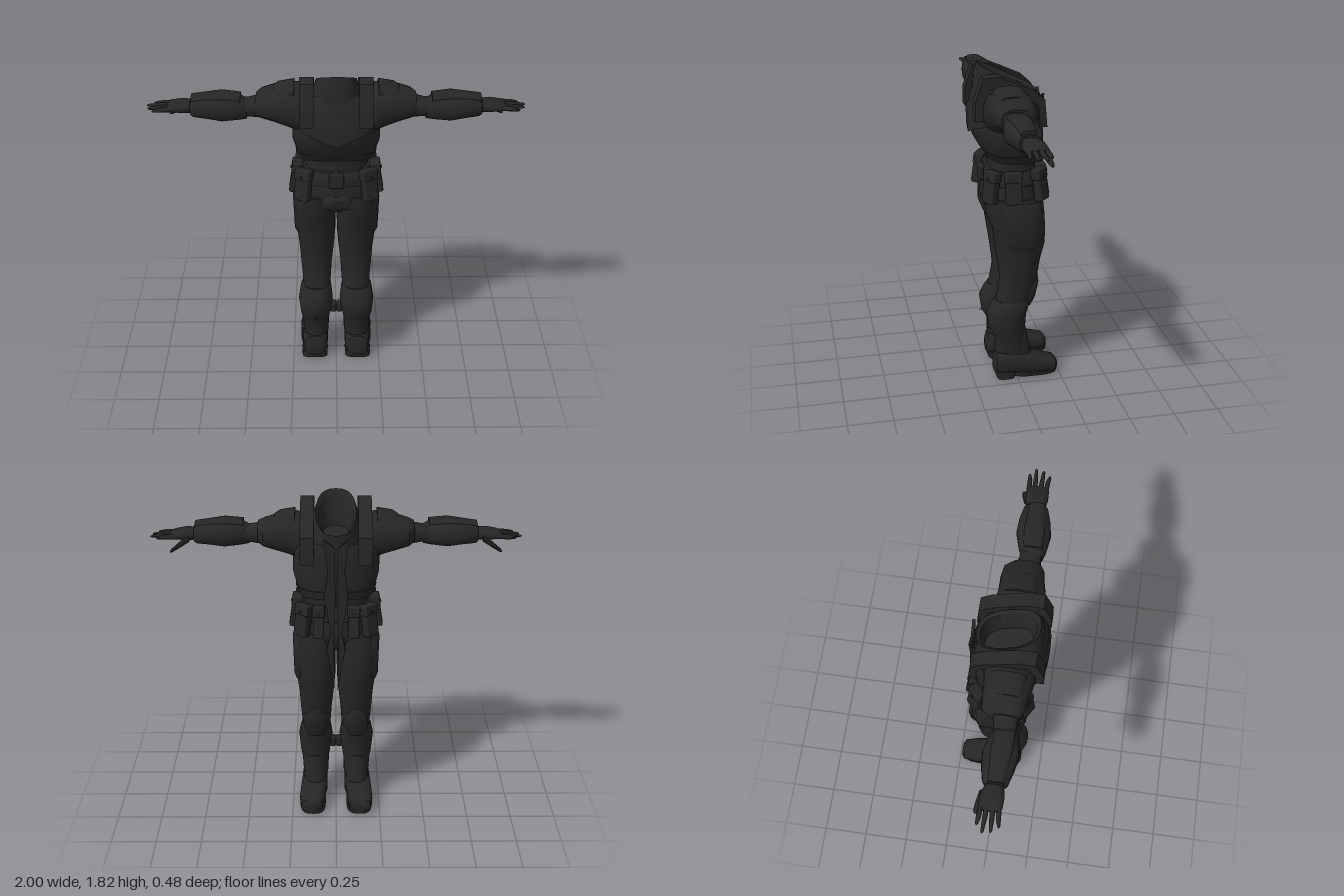
import * as THREE from 'three';
import { toCreasedNormals } from 'three/addons/utils/BufferGeometryUtils.js';
import { RoundedBoxGeometry } from 'three/addons/geometries/RoundedBoxGeometry.js';

const suit = new THREE.MeshStandardMaterial({ color: 0x262626, side: THREE.DoubleSide });
suit.name = 'charcoal suit';

const add = (parent, name, geometry) => {
  const mesh = new THREE.Mesh(geometry, suit);
  mesh.name = name;
  parent.add(mesh);
  return mesh;
};

// Skin through cross-sections. Row: [position on axis, uMin, uMax, vMin, vMax];
// (u, v) is (x, z) for axis y, (z, y) for axis x and (y, x) for axis z.
function loft(axis, rows, { sides = 20, power = 2.5, bottom = true, top = true, bend } = {}) {
  const pos = [], index = [];
  const put = (t, u, v) => {
    const p = axis === 'y' ? new THREE.Vector3(u, t, v)
      : axis === 'x' ? new THREE.Vector3(t, v, u) : new THREE.Vector3(v, u, t);
    if (bend) bend(p);
    pos.push(p.x, p.y, p.z);
  };
  const round = (c) => Math.sign(c) * Math.abs(c) ** (2 / power);
  for (const [t, u0, u1, v0, v1] of rows) {
    for (let j = 0; j < sides; j++) {
      const a = (j / sides) * Math.PI * 2;
      put(t, (u0 + u1) / 2 + (u1 - u0) / 2 * round(Math.cos(a)),
        (v0 + v1) / 2 + (v1 - v0) / 2 * round(Math.sin(a)));
    }
  }
  for (let i = 0; i < rows.length - 1; i++) {
    for (let j = 0; j < sides; j++) {
      const a = i * sides + j, b = i * sides + (j + 1) % sides;
      index.push(a, a + sides, b, b, a + sides, b + sides);
    }
  }
  const cap = (i, flip) => {
    const [t, u0, u1, v0, v1] = rows[i];
    const c = pos.length / 3;
    put(t, (u0 + u1) / 2, (v0 + v1) / 2);
    for (let j = 0; j < sides; j++) {
      const a = i * sides + j, b = i * sides + (j + 1) % sides;
      if (flip) index.push(c, a, b); else index.push(c, b, a);
    }
  };
  if (bottom) cap(0, true);
  if (top) cap(rows.length - 1, false);
  const g = new THREE.BufferGeometry();
  g.setAttribute('position', new THREE.Float32BufferAttribute(pos, 3));
  g.setIndex(index);
  return toCreasedNormals(g, 0.7);
}

// Section symmetric about x = 0
const mid = (y, w, z0, z1) => [y, -w, w, z0, z1];

// The neck opening slopes down towards -z
const SLOPE = 0.49;
const slopeAll = (p) => { p.y += SLOPE * (p.z - 0.185); };
const slopeTop = (p) => {
  p.y += SLOPE * (p.z - 0.185) * THREE.MathUtils.clamp((p.y - 1.5) / 0.25, 0, 1);
};

function buildTorso(g) {
  add(g, 'chestArmour', loft('y', [
    mid(1.31, 0.195, -0.14, 0.14), mid(1.35, 0.215, -0.15, 0.17), mid(1.42, 0.235, -0.15, 0.21),
    mid(1.5, 0.235, -0.15, 0.232), mid(1.6, 0.22, -0.145, 0.225), mid(1.68, 0.19, -0.14, 0.205),
    mid(1.73, 0.12, -0.12, 0.185)], { sides: 32, top: false, bend: slopeTop }));
  add(g, 'lowerRim', loft('y', [
    mid(1.3, 0.2, -0.148, 0.15), mid(1.345, 0.22, -0.155, 0.176)],
  { sides: 32, bend: (p) => { if (p.z > 0) p.y += 0.03 * (1 - Math.abs(p.x) / 0.22); } }));
  add(g, 'yokePlate', loft('y', [
    mid(1.44, 0.242, -0.155, 0.236), mid(1.56, 0.238, -0.155, 0.239), mid(1.61, 0.215, -0.145, 0.218)],
  { sides: 32, bottom: false, top: false, bend: (p) => { if (p.y < 1.5) p.y += Math.abs(p.x) * 0.4; } }));
  add(g, 'collar', loft('y', [
    mid(1.62, 0.15, -0.14, 0.212), mid(1.75, 0.13, -0.14, 0.203), mid(1.82, 0.108, -0.14, 0.186),
    mid(1.8, 0.092, -0.12, 0.165), mid(1.64, 0.085, -0.1, 0.15)],
  { sides: 24, bottom: false, bend: slopeAll }));
  add(g, 'waist', loft('y', [
    mid(1.2, 0.178, -0.13, 0.14), mid(1.27, 0.17, -0.125, 0.13), mid(1.34, 0.18, -0.13, 0.14)]));
  add(g, 'pelvis', loft('y', [
    mid(0.98, 0.13, -0.09, 0.1), mid(1.03, 0.2, -0.14, 0.155), mid(1.1, 0.215, -0.15, 0.165),
    mid(1.18, 0.19, -0.145, 0.16), mid(1.25, 0.172, -0.13, 0.14)], { sides: 28 }));
  add(g, 'seatFlap', loft('y', [
    mid(1.01, 0.13, 0.05, 0.16), mid(1.09, 0.11, 0.05, 0.175), mid(1.11, 0.1, 0.05, 0.165)],
  { bend: (p) => { if (p.y < 1.05) p.y += 0.03 * (1 - Math.abs(p.x) / 0.13); } }));
  add(g, 'belt', loft('y', [
    mid(1.17, 0.2, -0.155, 0.168), mid(1.18, 0.205, -0.16, 0.172),
    mid(1.24, 0.192, -0.152, 0.16), mid(1.25, 0.185, -0.145, 0.152)], { sides: 28 }));
  add(g, 'beltBuckle', new RoundedBoxGeometry(0.08, 0.085, 0.03, 2, 0.01)).position.set(0, 1.21, 0.168);
}

function addPouch(g, x, z, w, angle) {
  const pouch = new THREE.Group();
  pouch.name = 'beltPouch';
  add(pouch, 'pouchBody', new RoundedBoxGeometry(w, 0.175, 0.05, 2, 0.01));
  add(pouch, 'pouchFlap', new RoundedBoxGeometry(w + 0.008, 0.06, 0.058, 2, 0.01)).position.y = 0.062;
  const stud = add(pouch, 'pouchStud', new THREE.CylinderGeometry(0.008, 0.008, 0.008, 10));
  stud.rotation.x = Math.PI / 2;
  stud.position.set(0, 0.05, 0.031);
  pouch.rotation.set(-0.15, angle, 0, 'YXZ');
  pouch.position.set(x, 1.175, z);
  g.add(pouch);
}

function strapGeometry() {
  const shape = new THREE.Shape([
    [0.23, 1.55], [0.228, 1.65], [0.185, 1.78], [0.1, 1.785], [-0.09, 1.7], [-0.145, 1.65], [-0.158, 1.5],
    [-0.12, 1.5], [-0.11, 1.62], [-0.07, 1.65], [0.1, 1.72], [0.15, 1.72], [0.18, 1.55],
  ].map(([z, y]) => new THREE.Vector2(z, y)));
  return new THREE.ExtrudeGeometry(shape, { depth: 0.074, bevelEnabled: false })
    .rotateY(-Math.PI / 2).translate(0.192, 0, 0);
}

function buildArm(g) {
  add(g, 'shoulderGuard', loft('x', [
    [0.13, -0.08, 0.18, 1.45, 1.68], [0.2, -0.075, 0.19, 1.48, 1.725], [0.26, -0.065, 0.18, 1.505, 1.73],
    [0.33, -0.065, 0.165, 1.53, 1.71], [0.39, -0.055, 0.155, 1.55, 1.69], [0.42, -0.015, 0.135, 1.565, 1.675]]));
  add(g, 'shoulderRidge', loft('x', [
    [0.22, -0.03, 0.15, 1.64, 1.745], [0.3, -0.02, 0.14, 1.62, 1.735], [0.33, -0.01, 0.13, 1.62, 1.715]]));
  add(g, 'upperArm', loft('x', [
    [0.38, -0.01, 0.135, 1.55, 1.67], [0.46, 0.015, 0.13, 1.56, 1.655], [0.54, 0.015, 0.13, 1.56, 1.655]]));
  add(g, 'bracer', loft('x', [
    [0.47, 0.03, 0.135, 1.55, 1.65], [0.51, 0.005, 0.15, 1.545, 1.675], [0.6, -0.02, 0.163, 1.538, 1.682],
    [0.68, -0.015, 0.15, 1.55, 1.675], [0.75, 0, 0.13, 1.555, 1.665], [0.765, 0.01, 0.12, 1.565, 1.65]]));
  add(g, 'bracerPlate', loft('x', [
    [0.5, 0.03, 0.13, 1.62, 1.682], [0.6, 0.02, 0.13, 1.62, 1.692], [0.76, 0.03, 0.11, 1.62, 1.672]], { power: 4 }));
  add(g, 'palm', loft('x', [
    [0.74, 0.025, 0.105, 1.575, 1.64], [0.81, 0.0, 0.12, 1.577, 1.64],
    [0.87, -0.002, 0.118, 1.585, 1.628], [0.89, 0.01, 0.11, 1.592, 1.615]]));
  // Fingers: [root z, tip z, tip x]
  for (const [z, tz, tx] of [[0.012, 0.005, 0.965], [0.042, 0.036, 1], [0.072, 0.076, 0.992], [0.1, 0.112, 0.965]]) {
    const m = (z + tz) / 2;
    add(g, 'finger', loft('x', [
      [0.86, z - 0.014, z + 0.014, 1.59, 1.62], [0.93, m - 0.012, m + 0.012, 1.59, 1.614],
      [tx - 0.01, tz - 0.008, tz + 0.008, 1.592, 1.607], [tx, tz - 0.003, tz + 0.003, 1.597, 1.602]],
    { sides: 10, power: 2 }));
  }
  add(g, 'thumb', loft('x', [
    [0.79, -0.005, 0.04, 1.575, 1.612], [0.84, -0.018, 0.018, 1.547, 1.58],
    [0.88, -0.025, 0.0, 1.526, 1.548], [0.892, -0.02, -0.008, 1.525, 1.535]], { sides: 10, power: 2 }));
}

function buildLeg(g) {
  add(g, 'trouserLeg', loft('y', [
    [0.4, 0.04, 0.19, -0.055, 0.12], [0.52, 0.03, 0.193, -0.1, 0.1], [0.6, 0.025, 0.2, -0.12, 0.085],
    [0.72, 0.012, 0.208, -0.14, 0.1], [0.82, 0.004, 0.22, -0.165, 0.115], [0.92, 0.003, 0.228, -0.165, 0.13],
    [1.0, 0.003, 0.234, -0.16, 0.163], [1.1, 0, 0.222, -0.15, 0.165]], { sides: 24 }));
  add(g, 'thighPlate', loft('y', [
    [0.81, 0.13, 0.225, -0.11, 0.04], [0.84, 0.12, 0.234, -0.13, 0.07], [1.04, 0.12, 0.24, -0.13, 0.1],
    [1.08, 0.12, 0.225, -0.11, 0.09]], { power: 3 }));
  add(g, 'greave', loft('y', [
    [0.16, 0.045, 0.19, -0.06, 0.118], [0.25, 0.042, 0.195, -0.055, 0.118], [0.31, 0.032, 0.207, -0.055, 0.15],
    [0.39, 0.02, 0.215, -0.06, 0.162], [0.45, 0.028, 0.205, -0.08, 0.135], [0.48, 0.04, 0.19, -0.085, 0.115]]));
  add(g, 'kneePad', loft('y', [
    [0.44, 0.07, 0.16, -0.09, -0.02], [0.5, 0.05, 0.18, -0.115, -0.02], [0.58, 0.05, 0.18, -0.132, -0.02],
    [0.63, 0.08, 0.15, -0.128, -0.02]]));
  add(g, 'calfClasp', new RoundedBoxGeometry(0.034, 0.06, 0.05, 2, 0.01)).position.set(0.017, 0.33, 0.06);
  add(g, 'calfStud', new THREE.ConeGeometry(0.008, 0.03, 8).rotateX(Math.PI / 2)).position.set(0.12, 0.305, 0.152);
  add(g, 'bootShaft', loft('y', [
    [0.1, 0.055, 0.19, -0.1, 0.1], [0.17, 0.055, 0.185, -0.085, 0.1], [0.29, 0.06, 0.18, -0.06, 0.08]]));
  add(g, 'boot', loft('z', [
    [-0.238, 0.03, 0.075, 0.105, 0.175], [-0.222, 0.018, 0.095, 0.08, 0.2], [-0.15, 0.018, 0.112, 0.065, 0.21],
    [-0.08, 0.018, 0.138, 0.058, 0.206], [-0.02, 0.018, 0.165, 0.05, 0.2], [0.08, 0.018, 0.165, 0.05, 0.195],
    [0.115, 0.02, 0.15, 0.065, 0.185], [0.127, 0.03, 0.11, 0.085, 0.165]], { power: 3 }));
  add(g, 'sole', loft('y', [
    [0.01, 0.06, 0.206, -0.236, 0.03], [0.035, 0.06, 0.21, -0.238, 0.03]], { power: 3 }));
  add(g, 'heel', loft('y', [
    [0, 0.052, 0.2, 0.01, 0.115], [0.045, 0.05, 0.2, 0.0, 0.122]], { power: 4 }));
}

// Ragged panel edge hanging beside the open seam
function seamPanelGeometry() {
  const shape = new THREE.Shape([
    [0.008, 1.6], [0.07, 1.65], [0.045, 1.47], [0.065, 1.32], [0.03, 1.12], [0.05, 1.02],
    [0.008, 0.77], [0.014, 1.1], [0.004, 1.3],
  ].map(([x, y]) => new THREE.Vector2(x, y)));
  return new THREE.ExtrudeGeometry(shape, { depth: 0.016, bevelEnabled: false }).translate(0, 0, -0.169);
}

export function createModel() {
  const model = new THREE.Group();
  model.name = 'armouredSuit';
  const torso = new THREE.Group();
  torso.name = 'torso';
  buildTorso(torso);
  model.add(torso);

  // Paired parts, mirrored across x = 0
  for (const side of [1, -1]) {
    const half = new THREE.Group();
    half.name = side > 0 ? 'leftSide' : 'rightSide';
    add(half, 'shoulderStrap', strapGeometry());
    add(half, 'seamPanel', seamPanelGeometry());
    addPouch(half, 0.178, 0.145, 0.085, 0.55);
    addPouch(half, 0.222, 0.03, 0.085, Math.PI / 2);
    addPouch(half, 0.18, -0.125, 0.085, 2.4);
    addPouch(half, 0.095, -0.155, 0.06, Math.PI);
    buildArm(half);
    buildLeg(half);
    half.scale.x = side;
    model.add(half);
  }
  return model;
}
